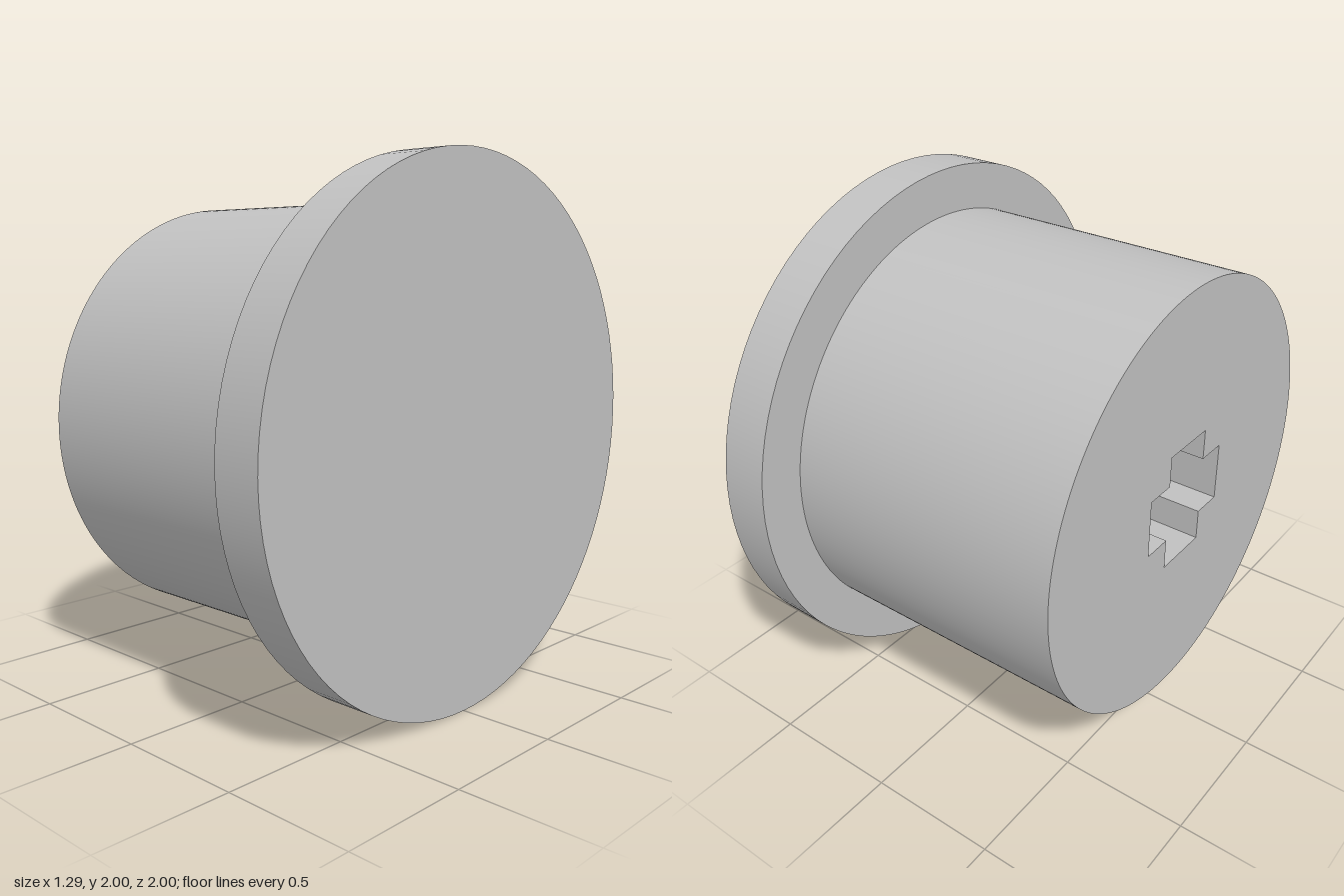
import * as THREE from 'three';
import { toCreasedNormals } from 'three/addons/utils/BufferGeometryUtils.js';

const X_END = -0.645, X_FLANGE = 0.455, X_FACE = 0.645;

// Plus-shaped outline: a = half length of the arms, b = half their width
function crossPath(a, b) {
  const corners = [];
  for (let i = 0; i < 4; i++) {
    const c = Math.round(Math.cos(i * Math.PI / 2)), s = Math.round(Math.sin(i * Math.PI / 2));
    for (const [u, v] of [[a, -b], [a, b], [b, b]]) {
      corners.push(new THREE.Vector2(u * c - v * s, u * s + v * c));
    }
  }
  return new THREE.Path(corners);
}

export function createModel() {
  const group = new THREE.Group();
  group.name = 'flangedPlug';
  const grey = new THREE.MeshStandardMaterial({ color: 0xc0c0c0 });
  grey.name = 'grey';

  // Round body with a cross-shaped socket in its free end
  const disc = new THREE.Shape();
  disc.absarc(0, 0, 0.828, 0, Math.PI * 2, false);
  disc.holes.push(crossPath(0.235, 0.115));
  const extruded = new THREE.ExtrudeGeometry(disc, {
    depth: X_FLANGE - X_END, bevelEnabled: false, curveSegments: 96,
  });
  const body = new THREE.Mesh(toCreasedNormals(extruded, 0.5), grey);
  body.name = 'socketBody';
  body.rotation.y = Math.PI / 2;
  body.position.set(X_END, 1, 0);
  group.add(body);

  // Wide flange that closes the other end
  const flange = new THREE.Mesh(new THREE.CylinderGeometry(1, 1, X_FACE - X_FLANGE, 96), grey);
  flange.name = 'flange';
  flange.rotation.z = -Math.PI / 2;
  flange.position.set((X_FLANGE + X_FACE) / 2, 1, 0);
  group.add(flange);

  return group;
}
